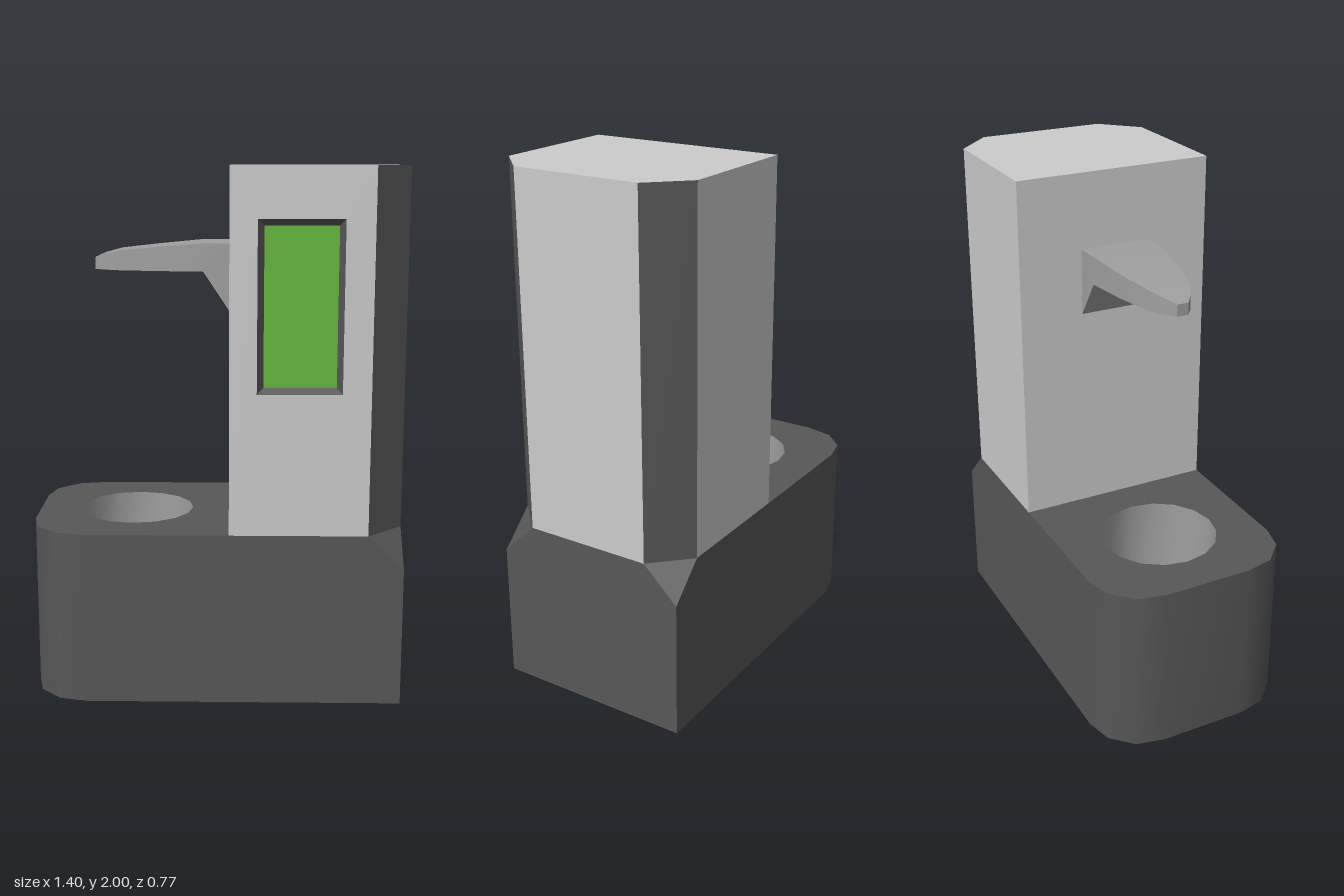
import * as THREE from 'three';
import { mergeVertices, toCreasedNormals } from 'three/addons/utils/BufferGeometryUtils.js';

const DARK = 0x575757, LIGHT = 0xcccccc, MID = 0x9f9f9f, GREEN = 0x64b73a;

function mesh(name, geometry, color, side = THREE.FrontSide) {
  const m = new THREE.Mesh(geometry, new THREE.MeshStandardMaterial({ color, side }));
  m.name = name;
  return m;
}

// Convex polygons (counter-clockwise from outside) to one creased geometry
function faces(polygons) {
  const pos = [];
  for (const p of polygons)
    for (let i = 1; i < p.length - 1; i++) pos.push(...p[0], ...p[i], ...p[i + 1]);
  const g = new THREE.BufferGeometry();
  g.setAttribute('position', new THREE.Float32BufferAttribute(pos, 3));
  return toCreasedNormals(g, 0.62);
}

const mirrorZ = (poly) => poly.map(([x, y, z]) => [x, y, -z]).reverse();
const level = (outline, y) => outline.map(([x, z]) => [x, y, z]);
const wall = ([ax, az], [bx, bz], y0, y1) =>
  [[ax, y0, az], [bx, y0, bz], [bx, y1, bz], [ax, y1, az]];
const rect = (x0, x1, y0, y1) => [[x0, y0], [x1, y0], [x1, y1], [x0, y1]];
const toVectors = (pts) => pts.map(([x, y]) => new THREE.Vector2(x, y));

const W = 0.385, R = 0.7, C = 0.565, CZ = 0.25;   // half depth, right end, chamfer corners
const BASE = 0.66, CUT = 0.53, TOP = 2, TX = 0.05;
const HOLE_X = -0.32, HOLE_R = 0.225, SIDES = 16;

function createBase() {
  const group = new THREE.Group();
  group.name = 'base';
  // Rounded end, running from back to front
  const half = [[-0.7, 0.17], [-0.675, 0.28], [-0.595, 0.36], [-0.49, W]];
  const end = [...half.map(([x, z]) => [x, -z]).reverse(), ...half];
  const polys = [];
  for (let i = 0; i < end.length - 1; i++) polys.push(wall(end[i], end[i + 1], 0, BASE));
  // Long sides and cut corners
  const side = [[-0.49, 0, W], [R, 0, W], [R, CUT, W], [C, BASE, W], [-0.49, BASE, W]];
  const corner = [[R, CUT, W], [R, BASE, CZ], [C, BASE, W]];
  polys.push(side, mirrorZ(side), corner, mirrorZ(corner));
  polys.push([[R, 0, W], [R, 0, -W], [R, CUT, -W], [R, BASE, -CZ], [R, BASE, CZ], [R, CUT, W]]);
  polys.push(level([...end, [R, W], [R, -W]], 0).reverse());
  group.add(mesh('baseBody', faces(polys), DARK));

  // Top with a round opening
  const shape = new THREE.Shape(toVectors([...end, [C, W], [R, CZ], [R, -CZ], [C, -W]]));
  const ring = [];
  for (let i = 0; i < SIDES; i++) {
    const a = (i / SIDES) * Math.PI * 2;
    ring.push([HOLE_X + HOLE_R * Math.cos(a), HOLE_R * Math.sin(a)]);
  }
  shape.holes.push(new THREE.Path(toVectors(ring)));
  const top = new THREE.ShapeGeometry(shape).rotateX(-Math.PI / 2).translate(0, BASE, 0);
  group.add(mesh('baseTop', top, DARK));

  // Well with a low raised seat on its floor
  const profile = [[HOLE_R, BASE], [HOLE_R, 0.3], [0.172, 0.3], [0.165, 0.33], [0.148, 0.34],
    [0.132, 0.38], [0, 0.38]];
  const well = new THREE.LatheGeometry(toVectors(profile.reverse()), SIDES);
  well.deleteAttribute('uv');
  well.deleteAttribute('normal');
  const wellMesh = mesh('well', toCreasedNormals(mergeVertices(well), 0.45), MID, THREE.DoubleSide);
  wellMesh.position.x = HOLE_X;
  group.add(wellMesh);
  return group;
}

function createTower() {
  const group = new THREE.Group();
  group.name = 'tower';
  const plan = [[TX, -W], [TX, W], [C, W], [R, CZ], [R, -CZ], [C, -W]];
  const side = (i) => wall(plan[i], plan[(i + 1) % plan.length], BASE, TOP);
  group.add(mesh('towerBody', faces([side(0), side(3), side(5), level(plan, TOP)]), LIGHT));
  group.add(mesh('towerChamfers', faces([side(2), side(4)]), DARK));

  // Front wall with the screen opening
  const outer = rect(0.15, 0.46, 1.19, 1.815), inner = rect(0.174, 0.44, 1.21, 1.792);
  const front = new THREE.Shape(toVectors(rect(TX, C, BASE, TOP)));
  front.holes.push(new THREE.Path(toVectors(outer)));
  group.add(mesh('towerFront', new THREE.ShapeGeometry(front).translate(0, 0, W), LIGHT));

  // Sloping frame and sunken screen
  const depth = W - 0.03;
  const frame = outer.map((p, i) => {
    const j = (i + 1) % 4;
    return [[...p, W], [...outer[j], W], [...inner[j], depth], [...inner[i], depth]];
  });
  group.add(mesh('screenFrame', faces(frame), DARK));
  group.add(mesh('screen', faces([inner.map((p) => [...p, depth])]), GREEN));
  return group;
}

function createSpout() {
  // Sections along x: position, top, bottom, half width
  const sections = [
    [0.05, 1.715, 1.46, 0.137], [-0.05, 1.715, 1.61, 0.137], [-0.22, 1.7, 1.61, 0.115],
    [-0.37, 1.685, 1.61, 0.082], [-0.43, 1.67, 1.61, 0.05], [-0.465, 1.655, 1.61, 0.022],
  ].map(([x, t, b, h]) => [[x, t, h], [x, b, h], [x, b, -h], [x, t, -h]]);
  const polys = [];
  for (let s = 0; s < sections.length - 1; s++)
    for (let i = 0; i < 4; i++) {
      const j = (i + 1) % 4, a = sections[s], b = sections[s + 1];
      polys.push([a[i], b[i], b[j], a[j]]);
    }
  polys.push([...sections.at(-1)].reverse());
  return mesh('spout', faces(polys), MID);
}

export function createModel() {
  const model = new THREE.Group();
  model.name = 'drinkDispenser';
  model.add(createBase(), createTower(), createSpout());
  return model;
}
